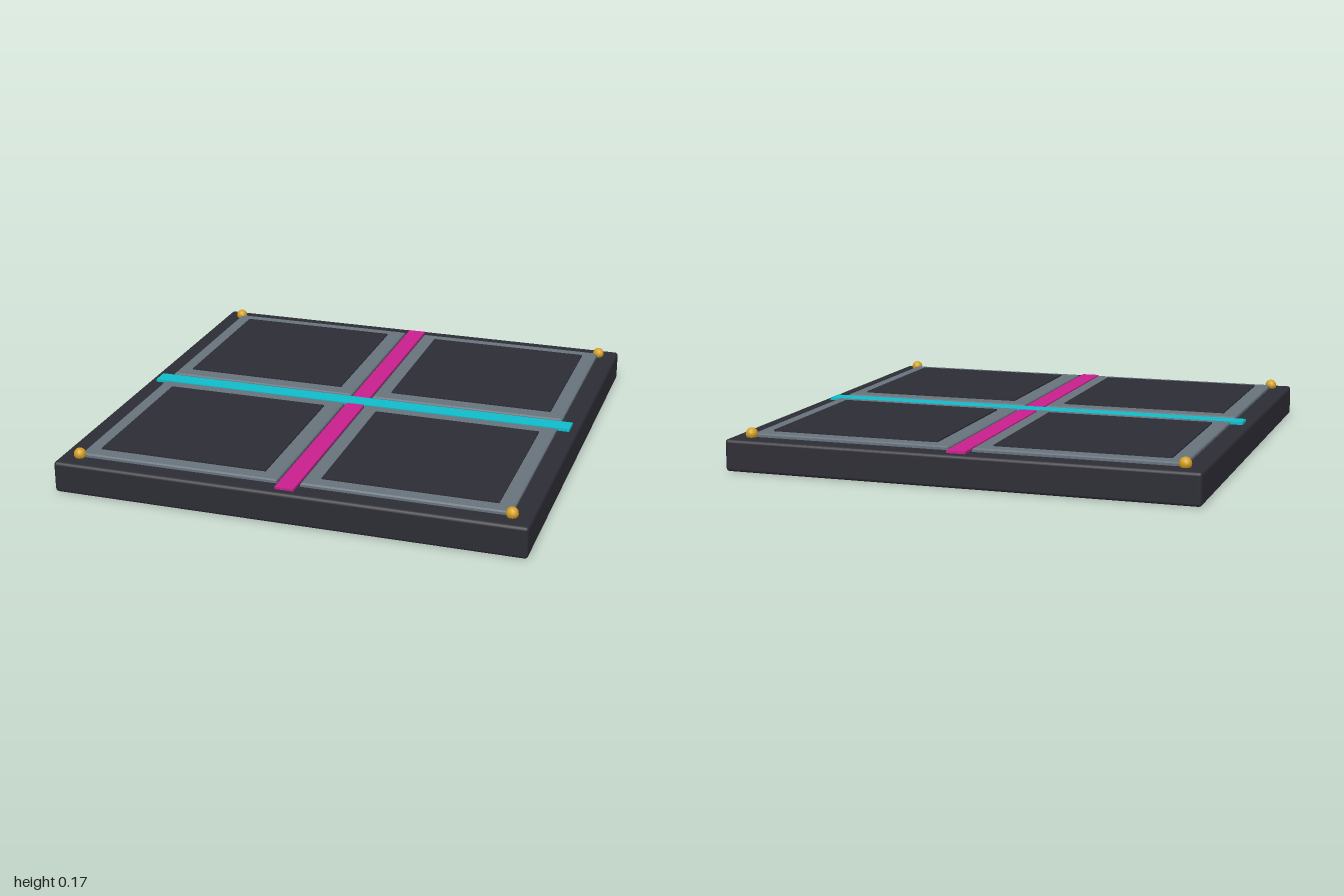
import * as THREE from 'three';
import { RoundedBoxGeometry } from 'three/addons/geometries/RoundedBoxGeometry.js';

const material = (name, color) => {
  const m = new THREE.MeshStandardMaterial({ color });
  m.name = name;
  return m;
};

export function createModel() {
  const model = new THREE.Group();
  model.name = 'floorTile';
  const dark = material('charcoal', 0x2d2d35);
  const grey = material('slateGrey', 0x68737c);
  const cyan = material('cyan', 0x10bccb);
  const magenta = material('magenta', 0xc8208f);
  const gold = material('gold', 0xd4a020);

  const add = (name, geometry, mat, x, y, z) => {
    const mesh = new THREE.Mesh(geometry, mat);
    mesh.name = name;
    mesh.position.set(x, y, z);
    model.add(mesh);
    return mesh;
  };

  // Base slab with softened edges
  add('base', new RoundedBoxGeometry(2, 0.135, 2, 2, 0.014), dark, 0, 0.0675, 0);

  // Crossing light strips, cyan lying just over magenta
  add('magentaStrip', new THREE.BoxGeometry(0.08, 0.014, 1.93), magenta, 0, 0.138, 0);
  add('cyanStrip', new THREE.BoxGeometry(1.93, 0.016, 0.08), cyan, 0, 0.139, 0);

  // Four square panels, each a bevelled grey plate with a raised dark inset
  const square = (half) => new THREE.Shape([
    new THREE.Vector2(-half, -half), new THREE.Vector2(half, -half),
    new THREE.Vector2(half, half), new THREE.Vector2(-half, half),
  ]);
  const plate = new THREE.ExtrudeGeometry(square(0.425), {
    depth: 0.012, bevelEnabled: true, bevelThickness: 0.005, bevelSize: 0.007, bevelSegments: 1,
  });
  plate.rotateX(-Math.PI / 2);
  const inset = new THREE.BoxGeometry(0.73, 0.012, 0.73);
  const stud = new THREE.SphereGeometry(0.026, 10, 8);

  for (const sx of [-1, 1]) {
    for (const sz of [-1, 1]) {
      add('panelFrame', plate, grey, sx * 0.482, 0.133, sz * 0.482);
      add('panelInset', inset, dark, sx * 0.485, 0.15, sz * 0.485);
      // Round stud at the outer corner
      add('cornerStud', stud, gold, sx * 0.917, 0.149, sz * 0.917);
    }
  }
  return model;
}
